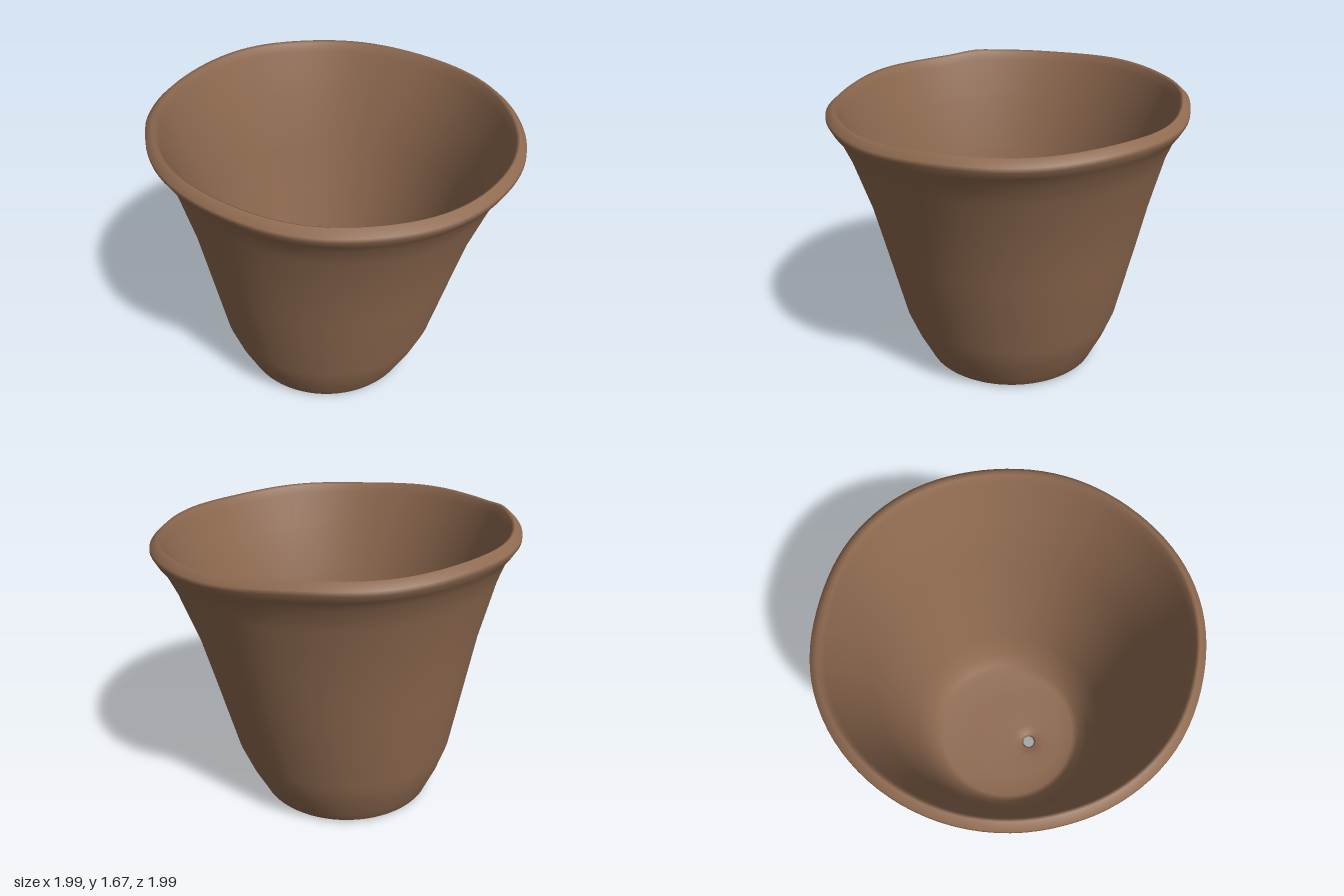
import * as THREE from 'three';

const { lerp, smoothstep } = THREE.MathUtils;
const SEGMENTS = 96;

// Half-profile as [radius, height]: drain hole, base, outer wall, lip, inner wall, floor
const PROFILE = [
  [0.036, 0.035], [0.05, 0.022], [0.11, 0.008], [0.27, 0.001], [0.44, 0.005],
  [0.498, 0.01], [0.512, 0.02], [0.54, 0.08], [0.587, 0.18], [0.642, 0.33],
  [0.743, 0.8], [0.795, 1.04], [0.888, 1.36], [0.936, 1.48], [0.973, 1.53],
  [0.996, 1.57], [0.994, 1.592], [0.955, 1.626], [0.938, 1.616], [0.924, 1.57],
  [0.848, 1.36], [0.752, 1.04], [0.59, 0.33], [0.525, 0.18], [0.475, 0.1],
  [0.435, 0.076], [0.27, 0.068], [0.11, 0.064], [0.05, 0.05],
];

// Soft bump around a chosen angle
const bump = (angle, centre, width) => {
  const d = Math.atan2(Math.sin(angle - centre), Math.cos(angle - centre));
  return Math.exp(-((d / width) ** 2));
};

// Point on the pot: the foot sits off-centre, the rim tilts and is slightly uneven
function potPoint(r, y, a) {
  const c = Math.cos(a);
  const s = Math.sin(a);
  const foot = 1 - Math.min(y / 1.5, 1);
  const toHole = 1 - smoothstep(r, 0.1, 0.46);
  const cx = lerp(-0.05 * foot, -0.18, toHole);
  const cz = lerp(-0.05 * foot, 0.03, toHole);
  const rim = smoothstep(y, 0.9, 1.53);
  const lip = smoothstep(y, 1.5, 1.57);
  const dent = 0.028 * bump(a, -0.74, 0.35) + 0.012 * bump(a, 2.5, 0.3);
  const ragged = 0.004 * Math.sin(7 * a + 1) + 0.012 * bump(a, -2.75, 0.12);
  const radius = r * (1 - rim * dent);
  const lift = rim * (-0.02 * c - 0.036 * s) + lip * ragged;
  return [cx + radius * c, y + lift, cz + radius * s - 0.004 * rim];
}

function potGeometry() {
  const positions = [];
  const index = [];
  PROFILE.forEach(([r, y], i) => {
    const lower = i * SEGMENTS;
    // The last ring joins the first through the drain hole
    const upper = ((i + 1) % PROFILE.length) * SEGMENTS;
    for (let j = 0; j < SEGMENTS; j++) {
      const n = (j + 1) % SEGMENTS;
      positions.push(...potPoint(r, y, (j / SEGMENTS) * Math.PI * 2));
      index.push(lower + j, upper + j, lower + n, upper + j, upper + n, lower + n);
    }
  });
  const geometry = new THREE.BufferGeometry();
  geometry.setAttribute('position', new THREE.Float32BufferAttribute(positions, 3));
  geometry.setIndex(index);
  geometry.computeVertexNormals();
  return geometry;
}

export function createModel() {
  const group = new THREE.Group();
  group.name = 'flowerPot';
  const clay = new THREE.MeshStandardMaterial({ color: 0x8f6a50 });
  clay.name = 'brown clay';
  const pot = new THREE.Mesh(potGeometry(), clay);
  pot.name = 'potBody';
  group.add(pot);
  return group;
}
